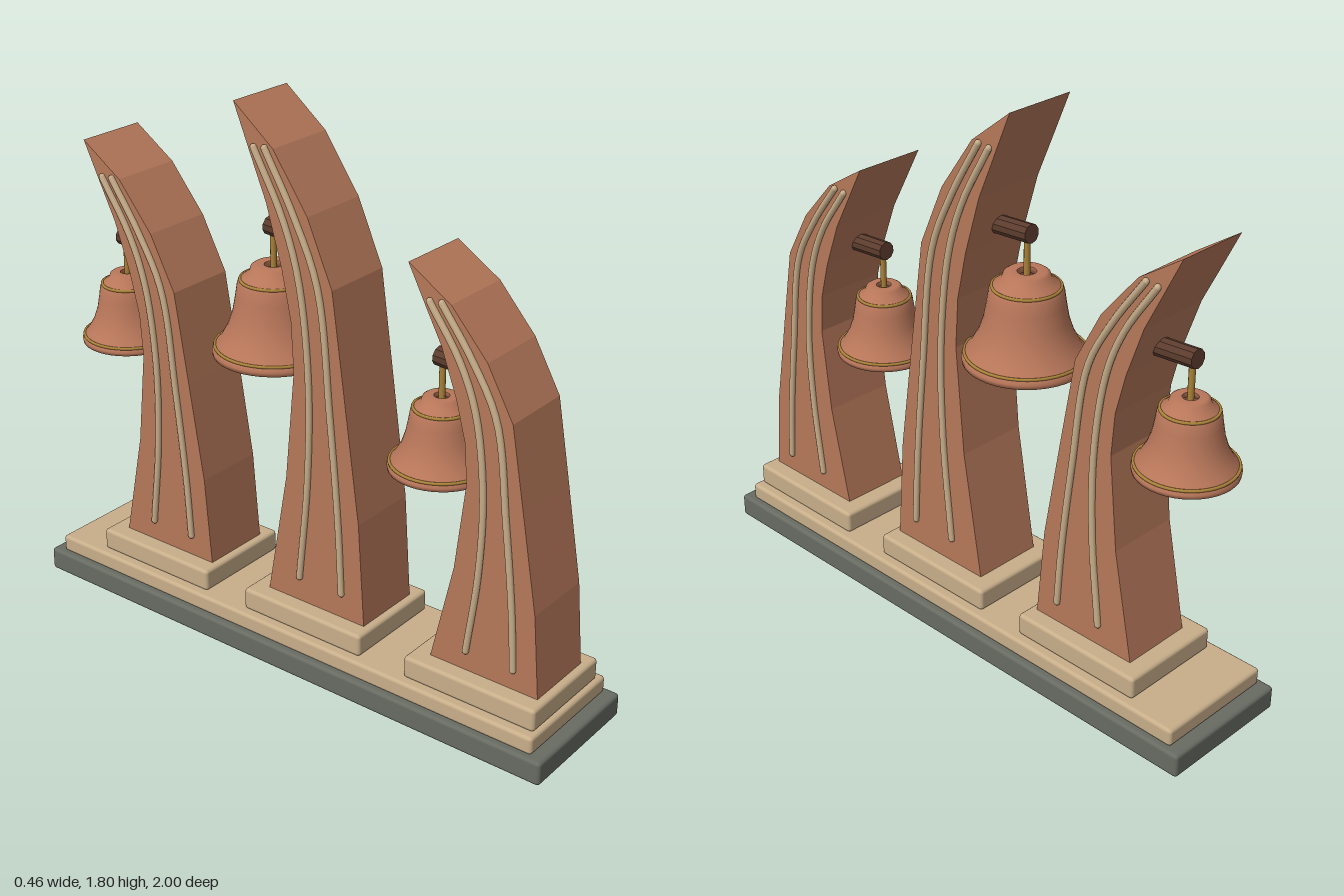
import * as THREE from 'three';
import { RoundedBoxGeometry } from 'three/addons/geometries/RoundedBoxGeometry.js';

const mat = (name, color, extra = {}) => {
  const m = new THREE.MeshStandardMaterial({ color, ...extra });
  m.name = name;
  return m;
};

// Fin outline and rib paths: [z offset, fraction of fin height]
const FRONT_EDGE = [[0.207, 0], [0.182, 0.22], [0.127, 0.465], [0.077, 0.684],
  [-0.014, 0.813], [-0.14, 0.926], [-0.288, 1]];
const BACK_EDGE = [[-0.225, 0.905], [-0.168, 0.82], [-0.112, 0.7], [-0.078, 0.6],
  [-0.068, 0.495], [-0.1, 0.267], [-0.173, 0]];
const RIBS = [
  [[0.121, 0.055], [0.108, 0.2], [0.074, 0.43], [0.026, 0.683], [-0.06, 0.808], [-0.169, 0.925]],
  [[-0.045, 0.055], [-0.012, 0.28], [-0.008, 0.49], [-0.043, 0.683], [-0.1, 0.795], [-0.21, 0.922]],
];
// Bell wall, outside from crown to lip then back up the inside: [radius, height], lip radius 1
const BELL = [[0.15, 1.5], [0.3, 1.51], [0.36, 1.47], [0.39, 1.38], [0.53, 1.27], [0.58, 1.2],
  [0.61, 1.0], [0.66, 0.72], [0.74, 0.48], [0.86, 0.26], [0.97, 0.13], [1, 0.07], [0.99, 0],
  [0.93, 0], [0.8, 0.22], [0.67, 0.5], [0.59, 0.8], [0.53, 1.14], [0.34, 1.33], [0.15, 1.4], [0.15, 1.5]];

const BASE_TOP = 0.21;
const HALF_WIDTH = 0.122;

export function createModel() {
  const model = new THREE.Group();
  const copper = mat('copper', 0xb5785a);
  const bellCopper = mat('bell copper', 0xb9775a, { side: THREE.DoubleSide });
  const stone = mat('pale stone', 0xc8ae8a);
  const slate = mat('dark slate', 0x676b62);
  const bronze = mat('dark bronze', 0x5c3c2e);
  const brass = mat('brass', 0xa98238);

  const add = (parent, name, geometry, material, x = 0, y = 0, z = 0) => {
    const mesh = new THREE.Mesh(geometry, material);
    mesh.name = name;
    mesh.position.set(x, y, z);
    parent.add(mesh);
    return mesh;
  };
  const slab = (parent, name, w, d, y0, y1, z, material) =>
    add(parent, name, new RoundedBoxGeometry(w, y1 - y0, d, 2, 0.012), material, 0, (y0 + y1) / 2, z);

  // Stepped base
  slab(model, 'lowerBase', 0.46, 2, 0, 0.08, 0, slate);
  slab(model, 'upperBase', 0.42, 1.914, 0.078, 0.137, 0, stone);

  // Bell hung by its crown, origin at the lip
  const makeBell = (r) => {
    const bell = new THREE.Group();
    bell.name = 'bell';
    const profile = BELL.map(([a, b]) => new THREE.Vector2(a * r, b * r)).reverse();
    add(bell, 'bellShell', new THREE.LatheGeometry(profile, 40), bellCopper);
    for (const [radius, height] of [[0.955, 0.15], [0.535, 1.26]]) {
      const ring = new THREE.TorusGeometry(radius * r, 0.005, 8, 40);
      add(bell, 'bellBand', ring.rotateX(Math.PI / 2), brass, 0, height * r, 0);
    }
    const rodLength = 1.4 * r;
    add(bell, 'clapperRod', new THREE.CylinderGeometry(0.006, 0.006, rodLength, 8), brass, 0, rodLength / 2, 0);
    const ball = add(bell, 'clapper', new THREE.SphereGeometry(0.16 * r, 16, 12), brass, 0, -0.03 * r, 0);
    ball.scale.y = 1.15;
    return bell;
  };

  // One curved fin with its plinth, ribs, arm and bell
  const makeTower = (name, z, height, bellRadius) => {
    const tower = new THREE.Group();
    tower.name = name;
    tower.position.z = z;
    model.add(tower);
    slab(tower, 'plinth', 0.36, 0.466, 0.135, BASE_TOP, 0, stone);

    const at = ([dz, t]) => new THREE.Vector2(dz, BASE_TOP + t * height);
    const outline = new THREE.Shape([...FRONT_EDGE, ...BACK_EDGE].map(at));
    const fin = new THREE.ExtrudeGeometry(outline, { depth: HALF_WIDTH * 2, bevelEnabled: false });
    add(tower, 'fin', fin.rotateY(-Math.PI / 2).translate(HALF_WIDTH, 0, 0), copper);

    // Raised ribs on both cheeks
    for (const side of [-1, 1]) {
      for (const rib of RIBS) {
        const points = rib.map(at).map((p) => new THREE.Vector3(side * (HALF_WIDTH + 0.004), p.y, p.x));
        const path = new THREE.CatmullRomCurve3(points);
        add(tower, 'rib', new THREE.TubeGeometry(path, 30, 0.011, 8), stone);
        for (const end of [points[0], points[points.length - 1]]) {
          add(tower, 'ribEnd', new THREE.SphereGeometry(0.011, 8, 6), stone, end.x, end.y, end.z);
        }
      }
    }

    // Arm, hanger and bell
    const armY = BASE_TOP + 0.74 * height;
    const arm = new THREE.CylinderGeometry(0.03, 0.03, 0.18, 10).toNonIndexed();
    arm.computeVertexNormals();
    add(tower, 'arm', arm, bronze, 0, armY, -0.172).rotation.x = -Math.PI / 2 + 0.07;
    const bellTop = armY - 0.115;
    add(tower, 'hanger', new THREE.CylinderGeometry(0.01, 0.01, 0.16, 10), brass, 0, bellTop + 0.05, -0.244);
    const bell = makeBell(bellRadius);
    bell.position.set(0, bellTop - 1.51 * bellRadius, -0.244);
    tower.add(bell);
  };

  makeTower('frontTower', 0.71, 1.242, 0.158);
  makeTower('middleTower', 0.077, 1.59, 0.195);
  makeTower('backTower', -0.55, 1.354, 0.158);
  return model;
}
